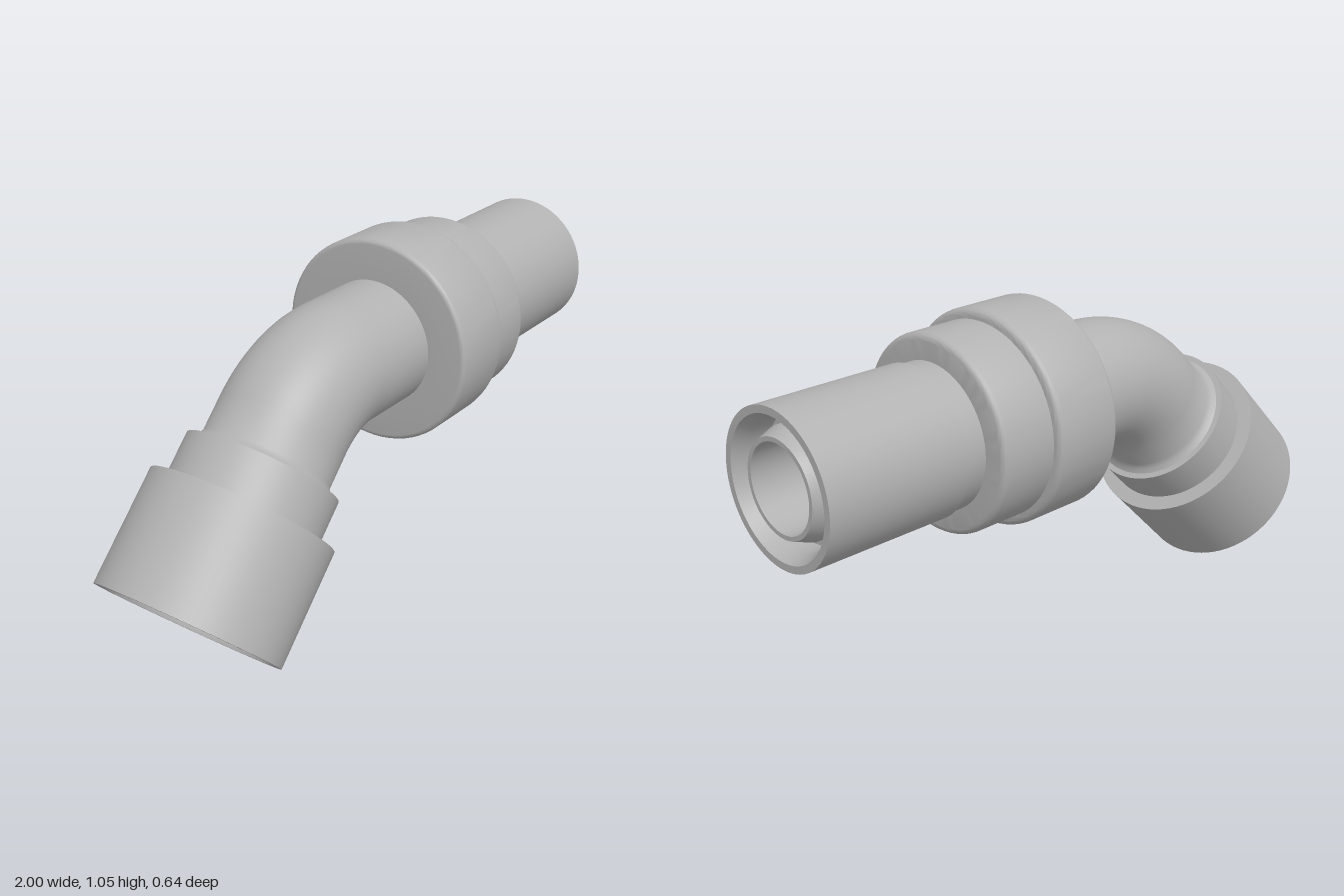
import * as THREE from 'three';
import { toCreasedNormals } from 'three/addons/utils/BufferGeometryUtils.js';

const SEG = 72;
const AXIS_Y = 0.735;     // height of the straight run
const BEND_X = -0.12;     // where the bend starts
const BEND_R = 0.357;     // centre-line radius of the bend
const PIPE_R = 0.195;
const BORE_R = 0.125;

export function createModel() {
  const model = new THREE.Group();
  const steel = new THREE.MeshStandardMaterial({ color: 0xb2b2b2, side: THREE.DoubleSide });
  steel.name = 'steel grey';

  // Profile corners are [radius, position along the axis, optional rounding]
  function turned(name, corners, parent) {
    const points = [];
    corners.forEach(([r, s, round], i) => {
      const p = new THREE.Vector2(r, s);
      if (!round) { points.push(p); return; }
      const toward = (c) => new THREE.Vector2(c[0], c[1]).sub(p).normalize().multiplyScalar(round);
      const a = toward(corners[i - 1]);
      const b = toward(corners[i + 1]);
      for (let k = 0; k <= 6; k++) {
        const t = (k / 6) * Math.PI / 2;
        points.push(p.clone().addScaledVector(a, 1 - Math.sin(t)).addScaledVector(b, 1 - Math.cos(t)));
      }
    });
    const mesh = new THREE.Mesh(toCreasedNormals(new THREE.LatheGeometry(points, SEG), 0.5), steel);
    mesh.name = name;
    parent.add(mesh);
  }

  // Straight run along +x
  const run = new THREE.Group();
  run.name = 'straightRun';
  run.position.y = AXIS_Y;
  run.rotation.z = -Math.PI / 2;
  model.add(run);

  turned('straightPipe', [[PIPE_R, BEND_X], [PIPE_R, 0.1]], run);
  turned('largeCollar', [
    [PIPE_R, 0.08], [0.32, 0.08, 0.016], [0.32, 0.305, 0.022], [0.26, 0.305],
  ], run);
  turned('smallCollar', [
    [0.29, 0.3], [0.29, 0.485, 0.022], [0.2, 0.485],
  ], run);
  turned('neck', [[0.214, 0.48], [0.214, 0.55]], run);
  // Sleeve with a flared mouth and a recess floor
  turned('endSleeve', [
    [0.21, 0.55], [0.222, 0.55], [0.222, 1], [0.2, 1], [0.18, 0.96], [0.18, 0.9], [0.155, 0.9],
  ], run);
  // Inner tube with tapered tip and bore
  turned('innerTube', [
    [0.157, 0.9], [0.157, 0.94], [0.138, 0.99], [BORE_R, 0.99], [BORE_R, BEND_X],
  ], run);

  // 45 degree bend, outside and bore
  for (const [name, radius] of [['elbow', PIPE_R], ['elbowBore', BORE_R]]) {
    const bend = new THREE.Mesh(new THREE.TorusGeometry(BEND_R, radius, SEG, 32, Math.PI / 4), steel);
    bend.name = name;
    bend.position.set(BEND_X, AXIS_Y - BEND_R, 0);
    bend.rotation.z = Math.PI / 2;
    model.add(bend);
  }

  // Angled leg, pointing down and outward from the end of the bend
  const leg = new THREE.Group();
  leg.name = 'angledLeg';
  const d = BEND_R * Math.SQRT1_2;
  leg.position.set(BEND_X - d, AXIS_Y - BEND_R + d, 0);
  leg.rotation.z = Math.PI * 0.75;
  model.add(leg);

  turned('legPipe', [[PIPE_R, 0], [PIPE_R, 0.105], [0.203, 0.12], [0.215, 0.13]], leg);
  turned('socketShoulder', [[0.21, 0.13], [0.233, 0.13], [0.233, 0.265]], leg);
  // Open socket with inner wall, floor and bore
  turned('socket', [
    [0.23, 0.262], [0.28, 0.262], [0.28, 0.61], [0.255, 0.61], [0.245, 0.59],
    [0.245, 0.32], [BORE_R, 0.32], [BORE_R, 0],
  ], leg);

  return model;
}
